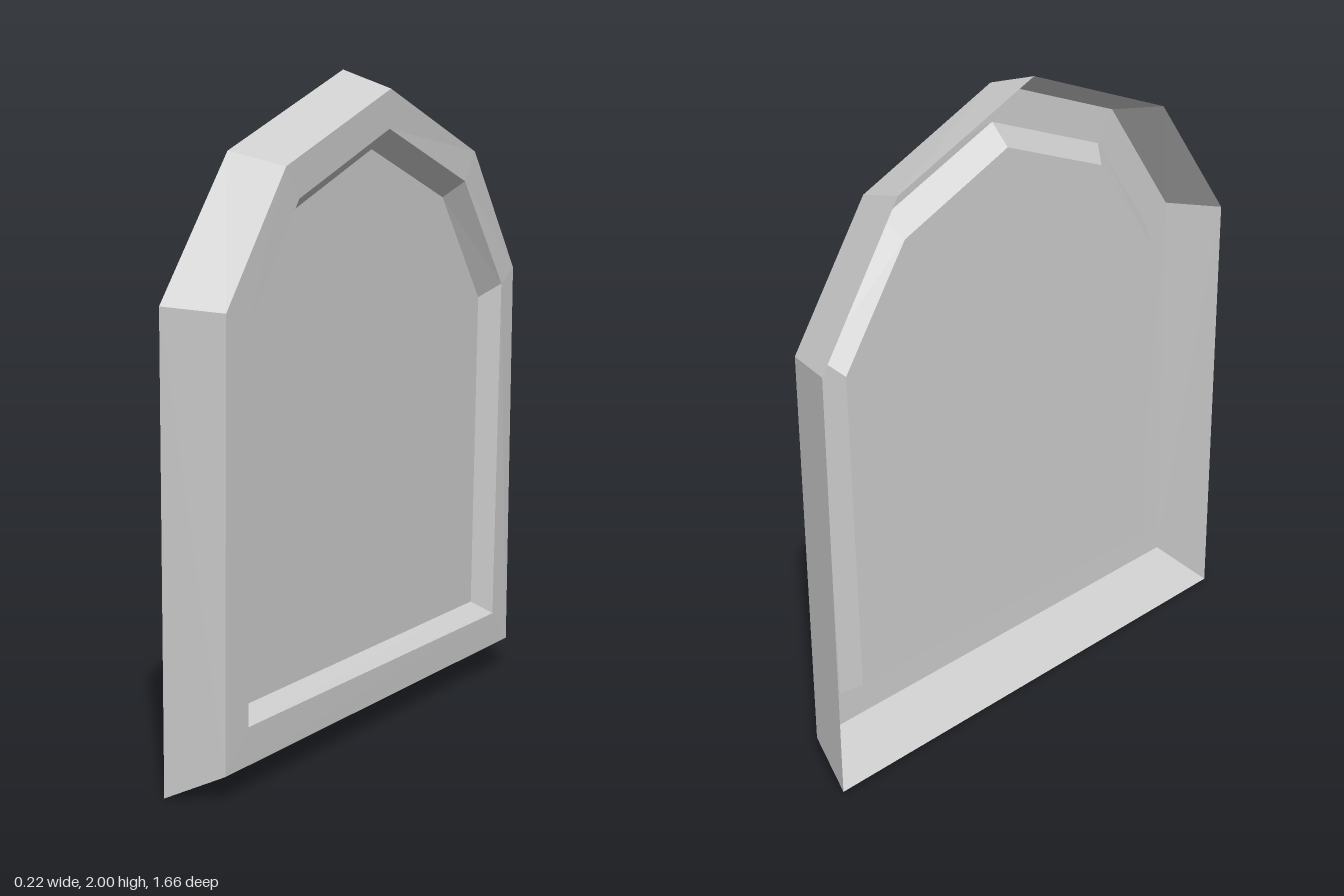
import * as THREE from 'three';

// Outlines of the arched panel as [x, y, z], counterclockwise seen from +x,
// starting at the lower +z corner.
const backEdge = [
  [-0.11, 0, 0.81], [-0.11, 0.02, -0.83], [-0.09, 1.38, -0.81], [-0.07, 1.8, -0.51],
  [-0.057, 2, 0.01], [-0.065, 1.78, 0.55], [-0.08, 1.38, 0.83],
];
const rimOuter = [
  [0.06, 0.08, 0.75], [0.06, 0.1, -0.785], [0.08, 1.365, -0.765], [0.095, 1.75, -0.49],
  [0.105, 1.945, 0], [0.1, 1.74, 0.505], [0.09, 1.365, 0.76],
];
// The inner outlines follow the slight lean of the rim.
const lean = (offset, points) => points.map(([y, z]) => [0.06 + 0.022 * y - offset, y, z]);
const rimInner = lean(0, [
  [0.195, 0.65], [0.21, -0.685], [1.32, -0.675], [1.66, -0.43],
  [1.83, 0], [1.65, 0.44], [1.32, 0.665],
]);
const panelEdge = lean(0.062, [
  [0.23, 0.605], [0.25, -0.645], [1.275, -0.635], [1.61, -0.4],
  [1.77, 0], [1.61, 0.39], [1.3, 0.61],
]);

const material = new THREE.MeshStandardMaterial({
  color: 0xcccccc, flatShading: true, side: THREE.DoubleSide,
});

function makeMesh(name, triangles) {
  const geometry = new THREE.BufferGeometry();
  geometry.setAttribute('position', new THREE.Float32BufferAttribute(triangles.flat(2), 3));
  geometry.computeVertexNormals();
  const mesh = new THREE.Mesh(geometry, material);
  mesh.name = name;
  return mesh;
}

// Strip of quads joining two outlines
function band(name, outer, inner) {
  const triangles = [];
  outer.forEach((a, i) => {
    const j = (i + 1) % outer.length;
    triangles.push([a, outer[j], inner[j]], [a, inner[j], inner[i]]);
  });
  return makeMesh(name, triangles);
}

// Fan of triangles filling an outline
function fill(name, ring) {
  const triangles = [];
  for (let i = 1; i < ring.length - 1; i++) triangles.push([ring[0], ring[i], ring[i + 1]]);
  return makeMesh(name, triangles);
}

export function createModel() {
  const group = new THREE.Group();
  group.name = 'archedPanel';
  // Thin shell, open at the back
  group.add(
    band('outerWall', backEdge, rimOuter),
    band('rim', rimOuter, rimInner),
    band('recessWall', rimInner, panelEdge),
    fill('recessedPanel', panelEdge),
  );
  return group;
}
